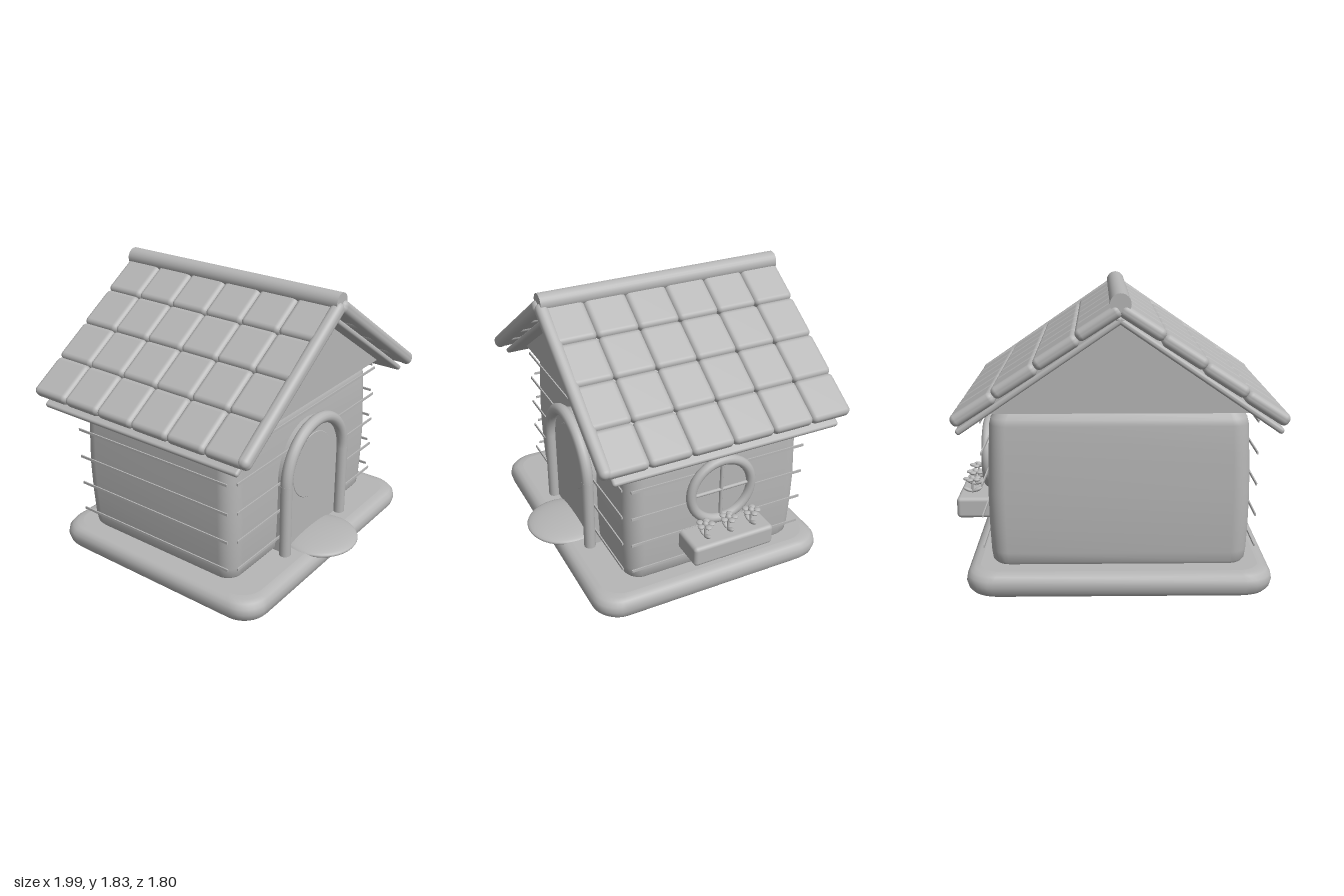
import * as THREE from 'three';
import { RoundedBoxGeometry } from 'three/addons/geometries/RoundedBoxGeometry.js';

const clay = new THREE.MeshStandardMaterial({ color: 0xb6b6b6 });
clay.name = 'clay grey';

const CX = -0.03; // centre line of the house

function add(parent, name, geometry, x = 0, y = 0, z = 0) {
  const mesh = new THREE.Mesh(geometry, clay);
  mesh.name = name;
  mesh.position.set(x, y, z);
  parent.add(mesh);
  return mesh;
}

// Rounded rectangle sections [y, inset] stacked into a soft closed block
function softBlock(halfX, halfZ, radius, sections) {
  const steps = 8, n = 4 * (steps + 1), pos = [], index = [];
  const ring = ([y, inset]) => {
    const r = radius - inset * 0.4, hx = halfX - inset - r, hz = halfZ - inset - r;
    for (let c = 0; c < 4; c++) for (let i = 0; i <= steps; i++) {
      const a = (c + i / steps) * Math.PI / 2;
      const sx = c === 0 || c === 3 ? 1 : -1, sz = c < 2 ? -1 : 1;
      pos.push(sx * hx + r * Math.cos(a), y, sz * hz - r * Math.sin(a));
    }
  };
  sections.forEach(ring);
  for (let k = 0; k < sections.length - 1; k++) for (let i = 0; i < n; i++) {
    const a = k * n + i, b = k * n + (i + 1) % n;
    index.push(a, b, a + n, b, b + n, a + n);
  }
  // flat caps with their own vertices
  for (const top of [false, true]) {
    const s = top ? sections[sections.length - 1] : sections[0];
    const start = pos.length / 3;
    ring(s);
    pos.push(0, s[0], 0);
    for (let i = 0; i < n; i++) {
      const a = start + i, b = start + (i + 1) % n;
      index.push(start + n, top ? a : b, top ? b : a);
    }
  }
  const g = new THREE.BufferGeometry();
  g.setAttribute('position', new THREE.Float32BufferAttribute(pos, 3));
  g.setIndex(index);
  g.computeVertexNormals();
  return g;
}

function archShape(r, bottom, spring) {
  const s = new THREE.Shape();
  s.moveTo(-r, bottom);
  s.lineTo(r, bottom);
  s.lineTo(r, spring);
  s.absarc(0, spring, r, 0, Math.PI, false);
  s.lineTo(-r, bottom);
  return s;
}

function buildRoof(house) {
  const roof = new THREE.Group();
  roof.name = 'roof';
  house.add(roof);
  const start = 0.04, pitch = 0.286, width = 0.272;
  for (const s of [-1, 1]) {
    const slope = new THREE.Group();
    slope.name = s > 0 ? 'leftSlope' : 'rightSlope';
    slope.position.set(CX, 1.8, 0);
    slope.rotation.z = -s * 0.6;
    roof.add(slope);
    // rows of puffy tiles
    for (let i = 0; i < 4; i++) for (let j = 0; j < 6; j++) {
      const tile = add(slope, 'roofTile', new RoundedBoxGeometry(pitch + 0.006, 0.075, width + 0.004, 3, 0.033),
        s * (start + (i + 0.5) * pitch), -0.047, -0.9 + (j + 0.5) * width);
      tile.rotation.z = s * 0.03;
    }
    // board under the tiles and trim along the front edge
    add(slope, 'roofBoard', new RoundedBoxGeometry(1.165, 0.036, 1.51, 3, 0.016), s * 0.633, -0.112, -0.075);
    add(slope, 'frontTrim', new RoundedBoxGeometry(1.16, 0.085, 0.08, 4, 0.036), s * 0.605, -0.043, 0.72);
  }
  const ridge = add(roof, 'ridgeCap', new THREE.CylinderGeometry(0.06, 0.06, 1.625, 24), CX, 1.765, -0.078);
  ridge.rotation.x = Math.PI / 2;
}

function buildDoor(house) {
  const door = new THREE.Group();
  door.name = 'door';
  door.position.x = CX;
  house.add(door);
  const panel = new THREE.ExtrudeGeometry(archShape(0.325, 0.14, 0.645), { depth: 0.07, bevelEnabled: false, curveSegments: 24 });
  add(door, 'doorPanel', panel, 0, 0, 0.502);
  const disc = add(door, 'doorDisc', new THREE.CylinderGeometry(0.22, 0.225, 0.005, 40), 0, 0.65, 0.573);
  disc.rotation.x = Math.PI / 2;
  // arched frame: two posts and half a ring
  const arch = add(door, 'archFrame', new THREE.TorusGeometry(0.327, 0.038, 14, 36, Math.PI), 0, 0.645, 0.595);
  arch.name = 'archFrame';
  for (const s of [-1, 1])
    add(door, 'doorPost', new THREE.CylinderGeometry(0.038, 0.038, 0.51, 16), s * 0.327, 0.395, 0.595);
  const mat = add(door, 'doorstep', new THREE.SphereGeometry(1, 40, 16), 0, 0.143, 0.645);
  mat.scale.set(0.253, 0.043, 0.253);
}

function buildWindow(house) {
  const win = new THREE.Group();
  win.name = 'window';
  win.position.set(0.81, 0.715, -0.075);
  win.rotation.y = Math.PI / 2;
  house.add(win);
  add(win, 'windowFrame', new THREE.TorusGeometry(0.208, 0.031, 14, 40));
  const pane = add(win, 'windowPane', new THREE.CylinderGeometry(0.205, 0.205, 0.04, 40), 0, 0, -0.028);
  pane.rotation.x = Math.PI / 2;
  for (const turn of [0, Math.PI / 2]) {
    const bar = add(win, 'windowBar', new THREE.CylinderGeometry(0.012, 0.012, 0.4, 10));
    bar.rotation.z = turn;
  }
}

function buildFlowerBox(house) {
  const box = new THREE.Group();
  box.name = 'flowerBox';
  house.add(box);
  add(box, 'planter', new RoundedBoxGeometry(0.23, 0.135, 0.55, 4, 0.025), 0.885, 0.408, -0.075);
  for (const z of [0.085, -0.075, -0.235]) {
    const flower = new THREE.Group();
    flower.name = 'flower';
    flower.position.set(0.91, 0.47, z);
    box.add(flower);
    add(flower, 'stem', new THREE.CylinderGeometry(0.007, 0.007, 0.11, 8), 0, 0.05, 0);
    add(flower, 'flowerCentre', new THREE.SphereGeometry(0.02, 12, 8), 0, 0.102, 0);
    for (let i = 0; i < 5; i++) {
      const a = i * Math.PI * 2 / 5;
      const petal = add(flower, 'petal', new THREE.SphereGeometry(0.022, 12, 8), 0.038 * Math.cos(a), 0.1, 0.038 * Math.sin(a));
      petal.scale.y = 0.5;
    }
    for (const s of [-1, 1]) {
      const leaf = add(flower, 'leaf', new THREE.SphereGeometry(0.035, 12, 8), s * 0.03, 0.028, 0);
      leaf.scale.set(1, 0.35, 0.5);
      leaf.rotation.z = s * 0.4;
    }
  }
}

export function createModel() {
  const house = new THREE.Group();
  house.name = 'cottage';

  // base slab and bulging walls
  add(house, 'base', softBlock(0.93, 0.805, 0.17,
    [[0, 0.05], [0.012, 0.028], [0.035, 0.01], [0.075, 0], [0.11, 0.006], [0.135, 0.025], [0.146, 0.05], [0.15, 0.08]]), CX, 0, -0.035);
  add(house, 'walls', softBlock(0.795, 0.607, 0.11,
    [[0.14, 0.04], [0.17, 0.018], [0.23, 0.01], [0.4, 0.003], [0.6, 0], [0.85, 0.008], [1.02, 0.016], [1.06, 0.025], [1.12, 0.065]]), CX, 0, -0.075);

  // triangular gable block under the roof
  const gable = new THREE.Shape([[-0.77, 1.115], [0.77, 1.115], [0, 1.65]].map(p => new THREE.Vector2(...p)));
  add(house, 'gable', new THREE.ExtrudeGeometry(gable, { depth: 1.31, bevelEnabled: false }), CX, 0, -0.73);

  // thin plank battens on the front and both sides
  for (let i = 0; i < 5; i++) {
    const y = 0.275 + i * 0.194;
    add(house, 'frontBatten', new THREE.BoxGeometry(1.56, 0.016, 0.008), CX, y, 0.56);
    for (const s of [-1, 1])
      add(house, 'sideBatten', new THREE.BoxGeometry(0.008, 0.016, 1.19), CX + s * 0.822, y, -0.075);
  }

  buildRoof(house);
  buildDoor(house);
  buildWindow(house);
  buildFlowerBox(house);
  return house;
}
